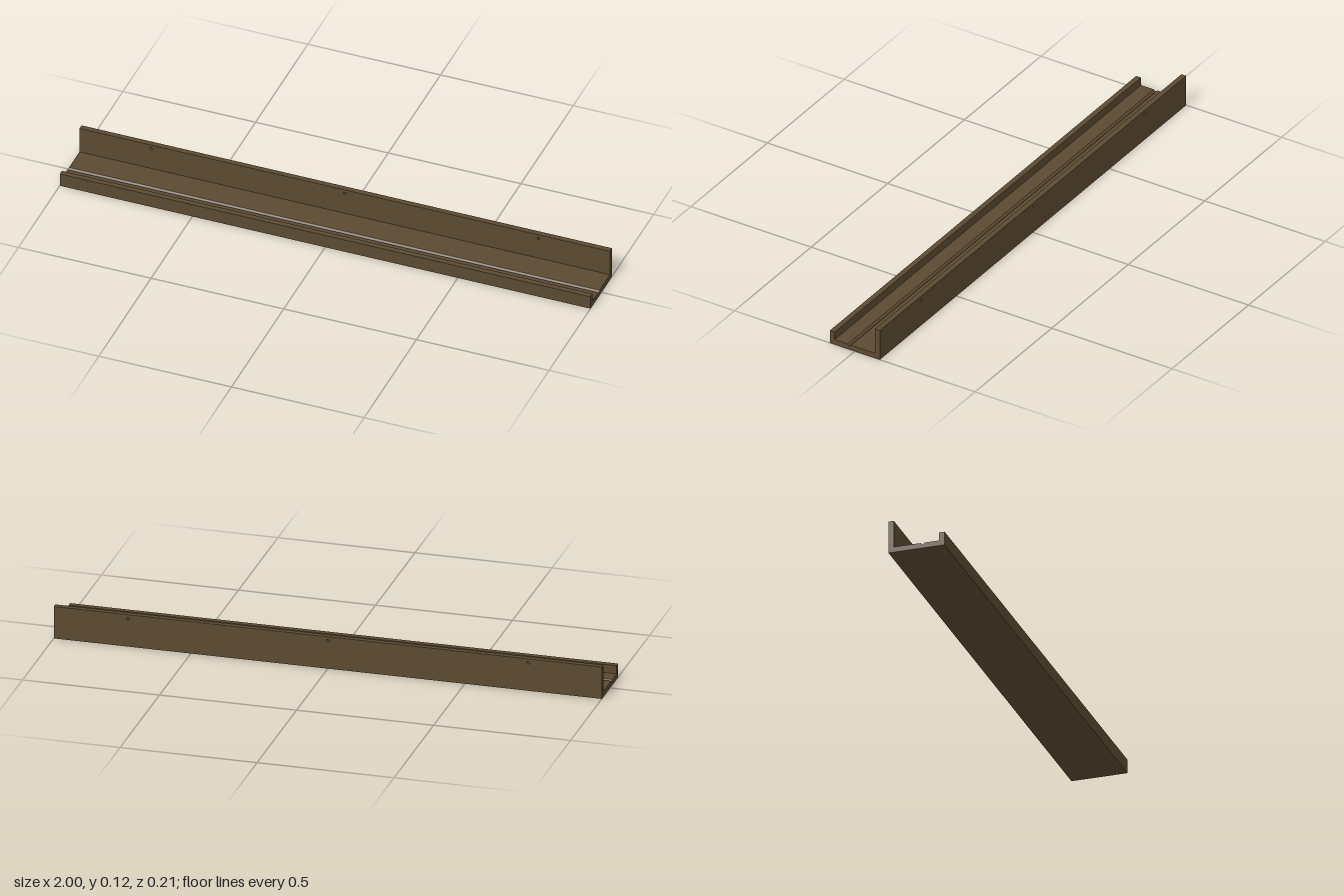
import * as THREE from 'three';

const LENGTH = 2, HALF_DEPTH = 0.104, BOARD = 0.02;
const BACK_TOP = 0.121, LIP_TOP = 0.051;

export function createModel() {
  const group = new THREE.Group();
  const wood = new THREE.MeshStandardMaterial({ color: 0x5c4a32 });
  wood.name = 'darkWood';

  const add = (name, geometry) => {
    const mesh = new THREE.Mesh(geometry, wood);
    mesh.name = name;
    group.add(mesh);
    return mesh;
  };

  // Shelf base: cross-section with a V groove, drawn as (-z, y) and swept along x
  const grooveZ = 0.023, grooveHalf = 0.007;
  const section = new THREE.Shape([
    [-HALF_DEPTH, 0], [HALF_DEPTH, 0], [HALF_DEPTH, BOARD],
    [-grooveZ + grooveHalf, BOARD], [-grooveZ, BOARD - 0.007], [-grooveZ - grooveHalf, BOARD],
    [-HALF_DEPTH, BOARD],
  ].map(([x, y]) => new THREE.Vector2(x, y)));
  const base = new THREE.ExtrudeGeometry(section, { depth: LENGTH, bevelEnabled: false });
  base.translate(0, 0, -LENGTH / 2).rotateY(Math.PI / 2);
  add('shelfBase', base);

  // Back board with three screw holes
  const board = new THREE.Shape([
    new THREE.Vector2(-LENGTH / 2, BOARD), new THREE.Vector2(LENGTH / 2, BOARD),
    new THREE.Vector2(LENGTH / 2, BACK_TOP), new THREE.Vector2(-LENGTH / 2, BACK_TOP),
  ]);
  for (const x of [-0.73, 0, 0.73]) {
    const hole = new THREE.Path();
    hole.absarc(x, 0.105, 0.005, 0, Math.PI * 2, true);
    board.holes.push(hole);
  }
  const back = new THREE.ExtrudeGeometry(board, { depth: BOARD, bevelEnabled: false, curveSegments: 16 });
  add('backBoard', back.translate(0, 0, -HALF_DEPTH));

  // Low front lip
  const lipHeight = LIP_TOP - BOARD;
  add('frontLip', new THREE.BoxGeometry(LENGTH, lipHeight, BOARD))
    .position.set(0, BOARD + lipHeight / 2, HALF_DEPTH - BOARD / 2);

  return group;
}
